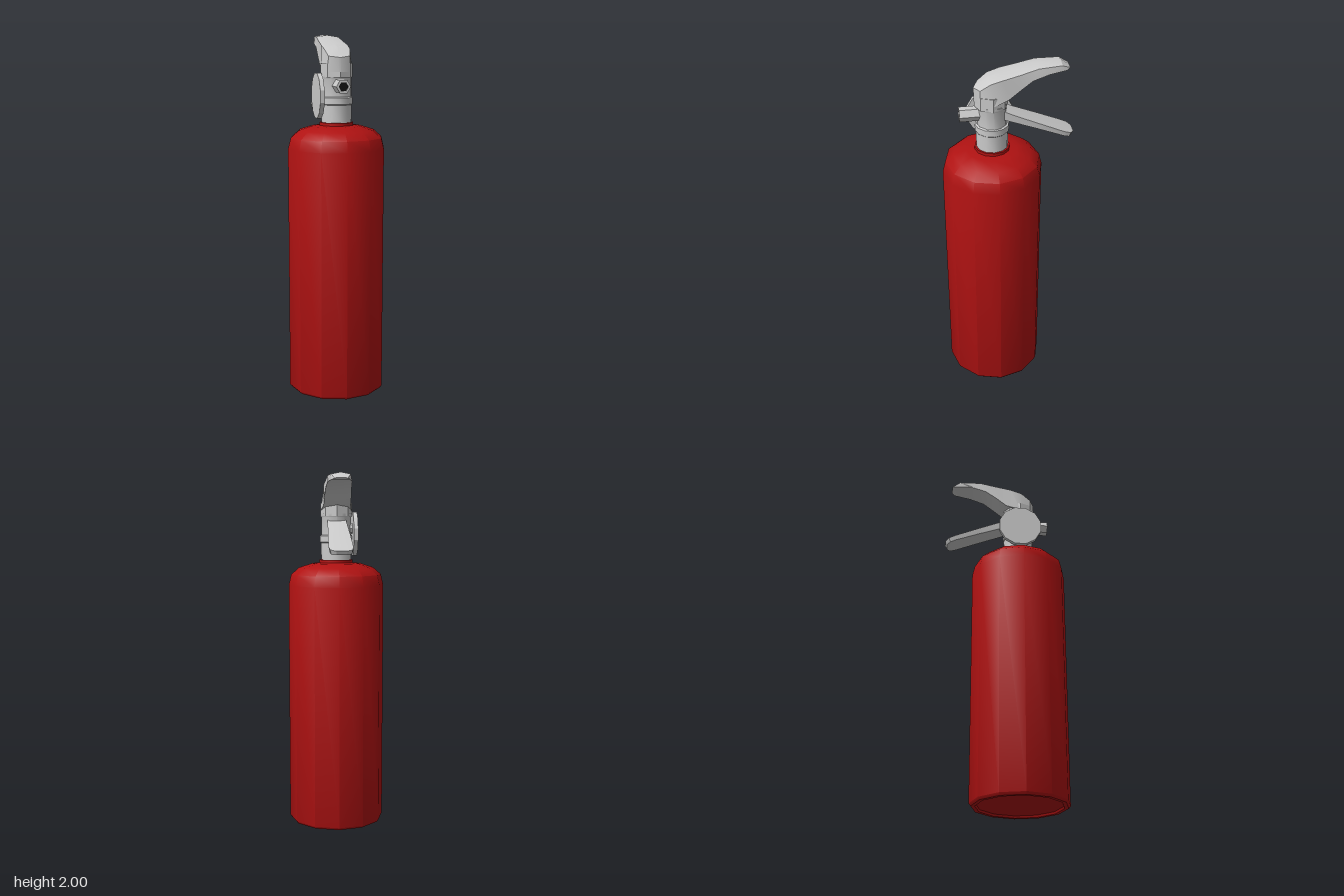
import * as THREE from 'three';
import { toCreasedNormals } from 'three/addons/utils/BufferGeometryUtils.js';

const AXIS_Z = 0.08; // the cylinder stands forward of the handles' midpoint

const red = new THREE.MeshStandardMaterial({ color: 0xb01212 });
const grey = new THREE.MeshStandardMaterial({ color: 0xcccccc });
const greyFlat = new THREE.MeshStandardMaterial({ color: 0xcccccc, flatShading: true });
const dark = new THREE.MeshStandardMaterial({ color: 0x111111 });

function lathe(profile, sides = 12) {
  const points = profile.map(([r, y]) => new THREE.Vector2(r, y));
  return toCreasedNormals(new THREE.LatheGeometry(points, sides), 0.7);
}

// Skin five-cornered sections running from front to back.
// Station: [top z, top y, top half width, bottom z, bottom y, bottom half width, crown]
function loft(stations) {
  const positions = [];
  const index = [];
  const n = 5;
  for (const [zt, yt, wt, zb, yb, wb, crown = 0] of stations) {
    positions.push(0, yt, zt, wt, yt - crown, zt, wb, yb, zb, -wb, yb, zb, -wt, yt - crown, zt);
  }
  const last = (stations.length - 1) * n;
  for (let i = 0; i < last; i += n) {
    for (let k = 0; k < n; k++) {
      const a = i + k;
      const b = i + ((k + 1) % n);
      index.push(a, b, b + n, a, b + n, a + n);
    }
  }
  for (let k = 1; k < n - 1; k++) {
    index.push(0, k + 1, k, last, last + k, last + k + 1);
  }
  const geometry = new THREE.BufferGeometry();
  geometry.setAttribute('position', new THREE.Float32BufferAttribute(positions, 3));
  geometry.setIndex(index);
  return toCreasedNormals(geometry, 0.45);
}

export function createModel() {
  const model = new THREE.Group();
  const add = (name, geometry, material, x = 0, y = 0, z = 0) => {
    const mesh = new THREE.Mesh(geometry, material);
    mesh.name = name;
    mesh.position.set(x, y, z);
    model.add(mesh);
    return mesh;
  };

  // Pressure cylinder with recessed base and rounded shoulder
  add('cylinderBody', lathe([
    [0, 0.012], [0.235, 0.012], [0.24, 0], [0.262, 0], [0.273, 0.014],
    [0.273, 1.38], [0.258, 1.44], [0.213, 1.48], [0.14, 1.503], [0.085, 1.508],
  ]), red, 0, 0, AXIS_Z);
  add('neckRing', lathe([[0.08, 1.5], [0.095, 1.506], [0.095, 1.524], [0, 1.526]]), red, 0, 0, AXIS_Z);

  // Neck, collar and valve
  add('neckCollar', lathe([
    [0.085, 1.515], [0.087, 1.62], [0.092, 1.625], [0.092, 1.66], [0.082, 1.665],
  ]), grey, 0, 0, AXIS_Z);
  const valve = add('valveBody', lathe([
    [0.085, 1.655], [0.085, 1.765], [0.088, 1.77], [0.088, 1.785], [0, 1.785],
  ]), grey, 0, 0, AXIS_Z);
  valve.scale.z = 0.92;

  // Hexagonal nozzle with a dark bore
  const hex = (r) => new THREE.Shape(Array.from({ length: 6 }, (_, i) =>
    new THREE.Vector2(r * Math.cos(i * Math.PI / 3), r * Math.sin(i * Math.PI / 3))));
  const nozzleShape = hex(0.04);
  nozzleShape.holes.push(hex(0.027));
  add('nozzle', new THREE.ExtrudeGeometry(nozzleShape, { depth: 0.125, bevelEnabled: false }),
    greyFlat, 0, 1.725, 0.13);
  const bore = add('nozzleBore', new THREE.CylinderGeometry(0.028, 0.028, 0.1, 6), dark, 0, 1.725, 0.2);
  bore.rotation.set(Math.PI / 2, Math.PI / 6, 0, 'XYZ');

  // Gauge disc on the right side of the valve
  const gauge = new THREE.CylinderGeometry(0.127, 0.127, 0.024, 12, 1, false, Math.PI / 12);
  add('gaugeDisc', gauge.rotateZ(Math.PI / 2), greyFlat, -0.104, 1.67, AXIS_Z);
  const stem = new THREE.CylinderGeometry(0.03, 0.03, 0.06, 8).rotateZ(Math.PI / 2);
  add('gaugeStem', stem, greyFlat, -0.07, 1.7, AXIS_Z);

  // Octagonal post under the carrying handle
  add('handlePost', new THREE.CylinderGeometry(0.09, 0.09, 0.075, 8), greyFlat, 0, 1.8075, AXIS_Z + 0.004);

  // Curved carrying handle
  add('upperHandle', loft([
    [0.175, 1.878, 0.004, 0.175, 1.8, 0.004],
    [0.148, 1.897, 0.06, 0.148, 1.8, 0.063, 0.012],
    [0.095, 1.935, 0.072, 0.084, 1.8, 0.089, 0.012],
    [0.03, 1.953, 0.075, 0.0, 1.83, 0.076, 0.01],
    [-0.06, 1.973, 0.07, -0.06, 1.878, 0.075, 0.01],
    [-0.155, 1.997, 0.063, -0.125, 1.925, 0.071, 0.01],
    [-0.28, 2.0, 0.053, -0.21, 1.952, 0.067, 0.01],
    [-0.325, 1.97, 0.035, -0.305, 1.96, 0.05, 0.003],
  ]), grey);

  // Squeeze lever sloping down towards the back
  add('lowerLever', loft([
    [0.06, 1.768, 0.05, 0.04, 1.705, 0.05],
    [-0.03, 1.728, 0.055, -0.03, 1.68, 0.053, 0.004],
    [-0.16, 1.672, 0.062, -0.16, 1.632, 0.058, 0.004],
    [-0.3, 1.611, 0.067, -0.3, 1.578, 0.062, 0.004],
    [-0.338, 1.595, 0.06, -0.33, 1.567, 0.055, 0.003],
    [-0.357, 1.586, 0.03, -0.347, 1.565, 0.026],
  ]), grey);

  return model;
}
